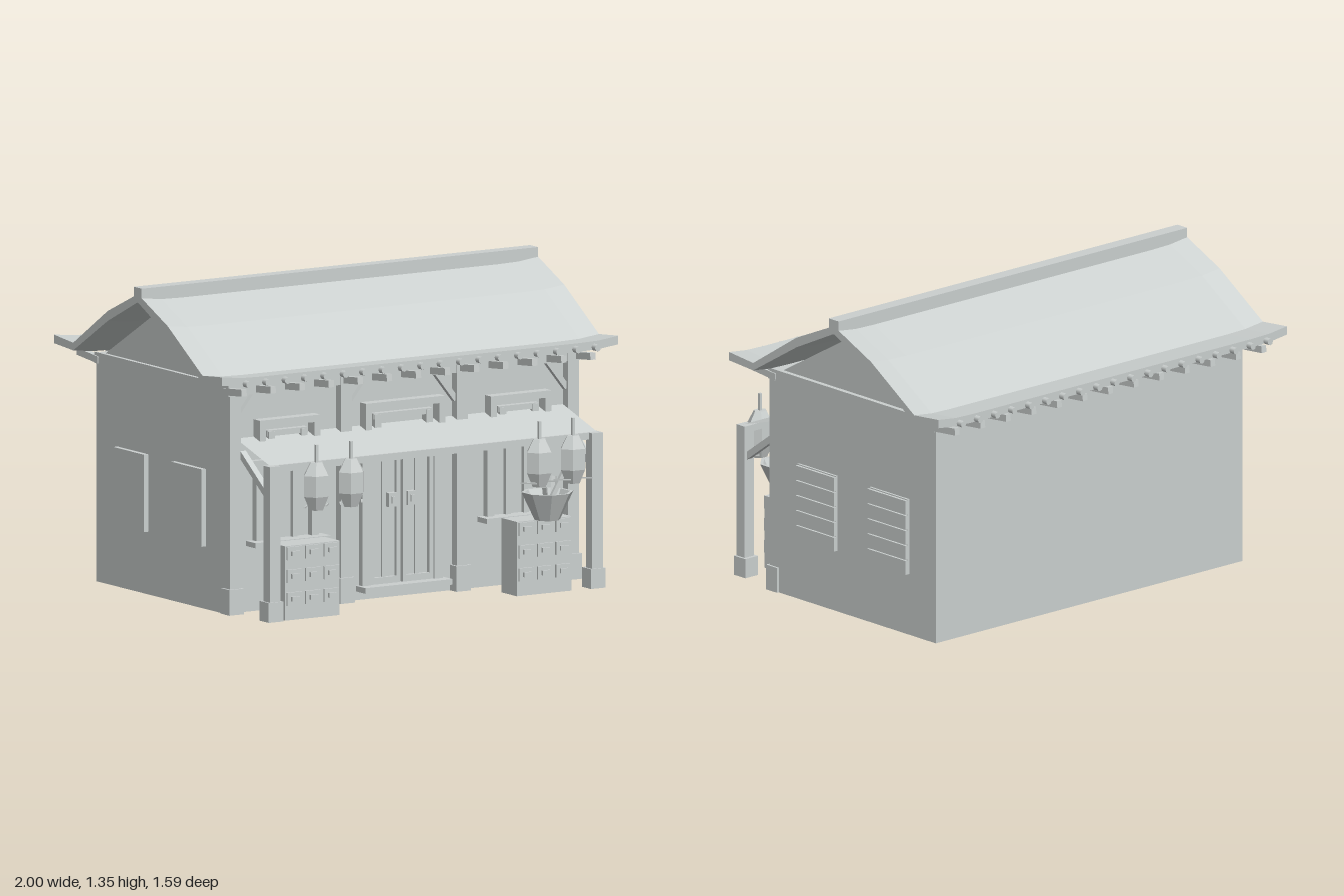
import * as THREE from 'three';

const stone = new THREE.MeshStandardMaterial({ color: 0xcbd0cf });
stone.name = 'pale grey';
const sheet = new THREE.MeshStandardMaterial({ color: 0xcbd0cf, side: THREE.DoubleSide });
sheet.name = 'pale grey sheet';

export function createModel() {
  const root = new THREE.Group();
  const ZC = -0.108; // ridge line

  const add = (name, geo, parent = root, mat = stone) => {
    const m = new THREE.Mesh(geo, mat);
    m.name = name;
    parent.add(m);
    return m;
  };
  // Box given by its limits on each axis
  const box = (name, x0, x1, y0, y1, z0, z1, parent = root) => {
    const m = add(name, new THREE.BoxGeometry(x1 - x0, y1 - y0, z1 - z0), parent);
    m.position.set((x0 + x1) / 2, (y0 + y1) / 2, (z0 + z1) / 2);
    return m;
  };
  // Square bar between two points
  const bar = (name, a, b, w, h = w, parent = root) => {
    const A = new THREE.Vector3(...a), B = new THREE.Vector3(...b);
    const m = add(name, new THREE.BoxGeometry(w, h, A.distanceTo(B)), parent);
    m.position.copy(A).add(B).multiplyScalar(0.5);
    m.lookAt(B);
    return m;
  };
  // Section in (z, y) extruded along x, centred
  const alongX = (pts, width, steps = 1) => {
    const g = new THREE.ExtrudeGeometry(new THREE.Shape(pts.map(p => new THREE.Vector2(...p))),
      { depth: width, steps, bevelEnabled: false });
    g.translate(0, 0, -width / 2);
    g.rotateY(-Math.PI / 2);
    return g;
  };

  // Body: main block, wall plate and gable
  box('houseBody', -0.88, 0.88, 0, 0.985, -0.62, 0.39);
  box('frontBeam', -0.88, 0.88, 0.94, 0.985, 0.39, 0.425);
  for (const s of [-1, 1]) {
    const x = s * 0.882;
    box('sideBeam', x - 0.006, x + 0.006, 0.94, 0.988, -0.622, 0.43);
  }
  add('gable', alongX([[ZC - 0.47, 0.985], [ZC + 0.47, 0.985], [ZC, 1.255]], 1.72));

  // Roof: bent slab whose ends sweep up slightly
  const top = [[0, 1.303], [0.235, 1.198], [0.508, 1.023], [0.66, 1.037]];
  const under = [[0.66, 1.0], [0.508, 0.99], [0.235, 1.155], [0, 1.268]];
  const half = [...top, ...under];
  const section = [
    ...under.slice().reverse().map(([d, y]) => [ZC - d, y]),
    ...top.slice().reverse().map(([d, y]) => [ZC - d, y]),
    ...half.slice(1, -1).map(([d, y]) => [ZC + d, y]),
  ];
  const roof = alongX(section, 2, 20);
  const p = roof.attributes.position;
  for (let i = 0; i < p.count; i++) {
    p.setY(i, p.getY(i) + Math.max(0, Math.abs(p.getX(i)) - 0.88) * 0.12);
  }
  roof.computeVertexNormals();
  add('roof', roof);
  box('ridge', -1, 1, 1.28, 1.345, ZC - 0.031, ZC + 0.031);

  // Round poles under the eaves
  for (let i = 0; i < 19; i++) {
    const x = -0.88 + i * 1.76 / 18;
    for (const s of [-1, 1]) {
      const g = new THREE.CylinderGeometry(0.015, 0.015, 0.06, 8).rotateX(Math.PI / 2);
      add('eavePole', g).position.set(x, 1.013, ZC + s * 0.658);
    }
  }
  // Square rafters, tipped up outside the walls
  for (let i = 0; i < 13; i++) {
    const x = -0.88 + i * 1.76 / 12;
    bar('frontRafter', [x, 0.957, 0.38], [x, 0.972, 0.54], 0.027, 0.03);
    bar('backRafter', [x, 0.957, -0.59], [x, 0.972, -0.755], 0.027, 0.03);
  }

  // Wall pillars with plinths
  for (const x of [-0.853, -0.293, 0.293, 0.853]) {
    box('pillar', x - 0.027, x + 0.027, 0, 0.985, 0.37, 0.43);
    box('pillarBase', x - 0.037, x + 0.037, 0, 0.11, 0.37, 0.44);
  }
  // Slanted struts under the front beam
  for (const s of [-1, 1]) {
    bar('frontStrut', [s * 0.83, 0.825, 0.405], [s * 0.735, 0.945, 0.405], 0.025, 0.025);
    bar('frontStrut', [s * 0.27, 0.825, 0.405], [s * 0.175, 0.945, 0.405], 0.025, 0.025);
  }

  // Porch: posts, front rail, slanted braces and thin awning
  for (const s of [-1, 1]) {
    const x = s * 0.813;
    box('porchPost', x - 0.027, x + 0.027, 0, 0.668, 0.63, 0.68);
    box('porchPostBase', x - 0.037, x + 0.037, 0, 0.085, 0.615, 0.687);
    bar('porchBrace', [x, 0.53, 0.64], [x, 0.69, 0.42], 0.028, 0.028);
  }
  box('porchRail', -0.79, 0.79, 0.638, 0.668, 0.632, 0.655);
  const awning = new THREE.PlaneGeometry(1.65, Math.hypot(0.265, 0.08));
  awning.rotateX(-Math.PI / 2 + Math.atan2(0.08, 0.265));
  add('awning', awning, root, sheet).position.set(0, 0.71, 0.5225);

  // Door: frame, two leaves with raised borders, pulls, threshold
  box('doorLintel', -0.205, 0.205, 0.625, 0.655, 0.385, 0.42);
  box('threshold', -0.22, 0.22, 0.038, 0.062, 0.385, 0.465);
  for (const s of [-1, 1]) {
    const leaf = new THREE.Group();
    leaf.name = 'doorSide';
    leaf.position.x = s * 0.085;
    root.add(leaf);
    const side = (n, a, b, y0, y1, z) =>
      box(n, Math.min(s * a, s * b), Math.max(s * a, s * b), y0, y1, 0.385, z, leaf);
    side('doorJamb', 0.075, 0.118, 0.06, 0.63, 0.418);
    side('doorStile', -0.079, -0.06, 0.06, 0.625, 0.408);
    side('doorStile', 0.055, 0.075, 0.06, 0.625, 0.408);
    side('doorRail', -0.06, 0.055, 0.06, 0.09, 0.408);
    side('doorRail', -0.06, 0.055, 0.605, 0.625, 0.408);
    side('doorMullion', -0.012, 0.008, 0.09, 0.605, 0.4);
    side('doorPull', -0.058, -0.016, 0.39, 0.45, 0.415);
    side('doorPullKnob', -0.046, -0.028, 0.405, 0.435, 0.424);
  }

  // Front windows, sills and bracket-shaped boards above the awning
  const board = (x, w, y0, y1) => {
    const t = 0.03;
    box('boardTop', x - w, x + w, y1 - t, y1, 0.385, 0.44);
    for (const s of [-1, 1]) {
      box('boardEnd', x + s * (w - t / 2) - t / 2, x + s * (w - t / 2) + t / 2, y0, y1 - t, 0.385, 0.44);
      const c = x + s * (w - 0.07);
      box('boardBracket', c - 0.016, c + 0.016, y0, y1 - 0.055, 0.385, 0.425);
    }
    box('boardPanel', x - w + 0.05, x + w - 0.05, y1 - 0.075, y1 - 0.05, 0.385, 0.42);
  };
  board(0, 0.2, 0.73, 0.85);
  for (const s of [-1, 1]) {
    const x = s * 0.583;
    board(x, 0.152, 0.72, 0.825);
    box('windowSill', x - 0.19, x + 0.19, 0.283, 0.305, 0.385, 0.465);
    box('windowHead', x - 0.19, x + 0.19, 0.625, 0.65, 0.385, 0.42);
    for (const k of [-1, 1]) {
      box('windowJamb', x + k * 0.14 - 0.018, x + k * 0.14 + 0.018, 0.305, 0.625, 0.385, 0.42);
      box('windowBar', x + k * 0.045 - 0.012, x + k * 0.045 + 0.012, 0.305, 0.625, 0.385, 0.41);
    }
  }

  // Side shutters: slatted on the left, plain on the right
  for (const z of [0.12, -0.332]) {
    box('sideShutter', -0.902, -0.88, 0.27, 0.603, z - 0.121, z + 0.121);
    box('shutterBack', 0.88, 0.89, 0.27, 0.603, z - 0.121, z + 0.121);
    for (let i = 0; i < 5; i++) {
      const y = 0.27 + i * 0.0666;
      box('shutterSlat', 0.89, 0.902, y, y + 0.062, z - 0.121, z + 0.121);
    }
  }

  // Drawer chests
  for (const cx of [-0.622, 0.548]) {
    const chest = new THREE.Group();
    chest.name = 'drawerChest';
    chest.position.x = cx;
    root.add(chest);
    box('chestBody', -0.138, 0.138, 0, 0.32, 0.555, 0.675, chest);
    for (let i = -1; i <= 1; i++) for (let j = 0; j < 3; j++) {
      const x = i * 0.093, y = 0.092 + j * 0.098;
      box('drawer', x - 0.038, x + 0.038, y - 0.028, y + 0.028, 0.67, 0.684, chest);
      box('drawerPull', x - 0.02, x + 0.02, y - 0.01, y + 0.01, 0.68, 0.694, chest);
    }
  }

  // Hanging lanterns, six-sided
  const lanternProfile = [[0, 0.475], [0.034, 0.475], [0.062, 0.535], [0.062, 0.625], [0.03, 0.68], [0, 0.68]]
    .map(q => new THREE.Vector2(...q));
  for (const x of [-0.64, -0.465, 0.485, 0.655]) {
    const lantern = new THREE.Group();
    lantern.name = 'lantern';
    lantern.position.set(x, 0, 0.735);
    root.add(lantern);
    const g = new THREE.LatheGeometry(lanternProfile, 6, Math.PI / 6 * 3).toNonIndexed();
    g.scale(1, 1, 0.85);
    g.computeVertexNormals();
    add('lanternBody', g, lantern);
    box('lanternHanger', -0.006, 0.006, 0.67, 0.755, -0.006, 0.006, lantern);
    for (const s of [-1, 1]) {
      bar('lanternTassel', [s * 0.058, 0.53, 0], [s * 0.05, 0.455, 0], 0.006, 0.006, lantern);
    }
  }

  // Open tub on the left chest, holding a few sticks
  const tubProfile = [[0, 0.32], [0.055, 0.32], [0.112, 0.44], [0.098, 0.44], [0.05, 0.34], [0, 0.34]]
    .map(q => new THREE.Vector2(...q));
  const tub = new THREE.LatheGeometry(tubProfile, 8, Math.PI / 8).toNonIndexed();
  tub.computeVertexNormals();
  add('tub', tub).position.set(0.555, 0, 0.688);
  bar('stick', [0.54, 0.35, 0.69], [0.63, 0.52, 0.7], 0.018);
  bar('stick', [0.57, 0.35, 0.7], [0.6, 0.5, 0.67], 0.018);
  bar('stick', [0.56, 0.35, 0.68], [0.52, 0.47, 0.72], 0.018);

  return root;
}
